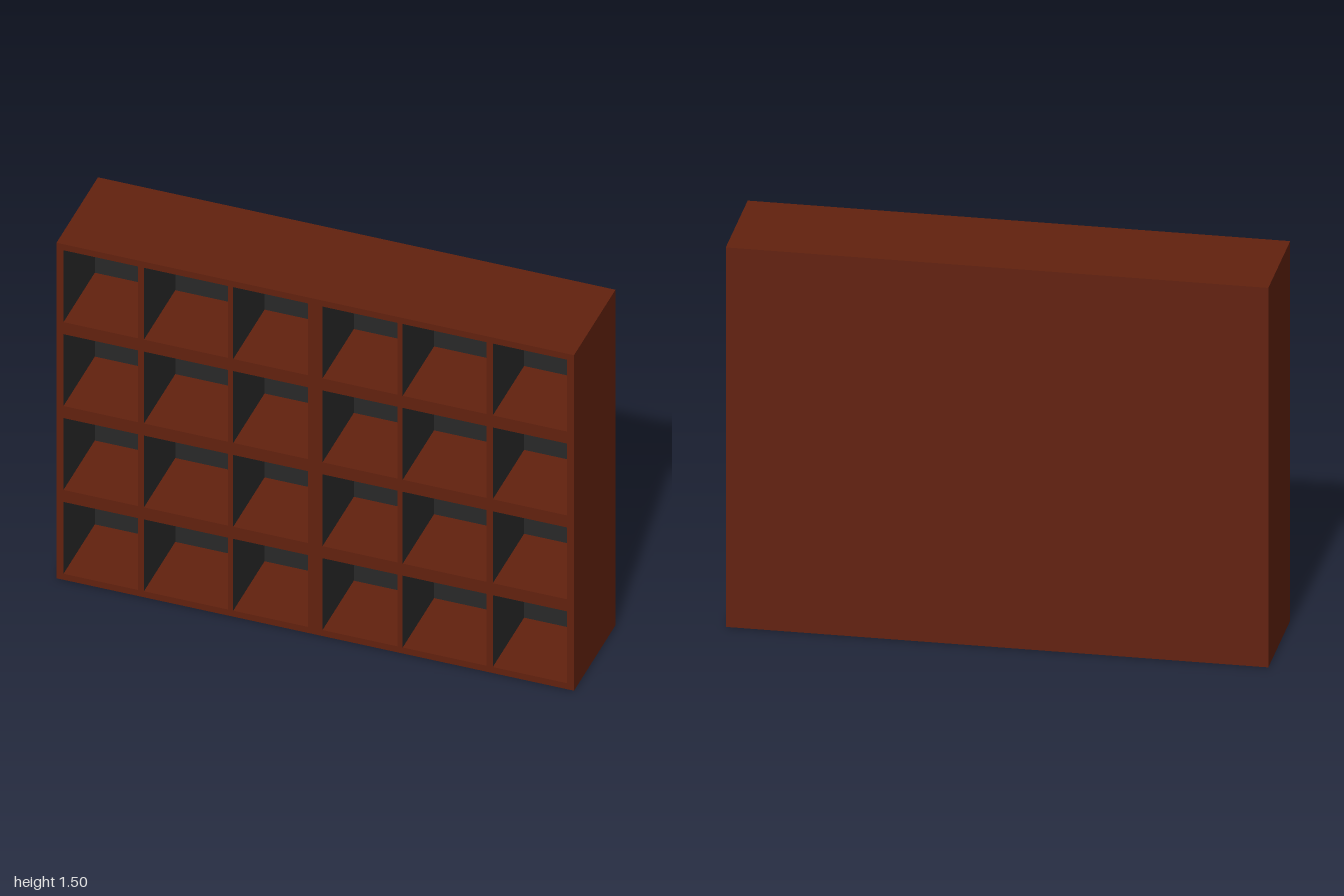
import * as THREE from 'three';

const W = 2, H = 1.5, FRONT = 0.216, BACK = -0.216, PANEL = -0.11;
const ROWS = 4, T = 0.027;

export function createModel() {
  const group = new THREE.Group();
  group.name = 'cubbyShelf';
  const wood = new THREE.MeshStandardMaterial({ color: 0x62210e });
  const dark = new THREE.MeshStandardMaterial({ color: 0x282828 });

  // Box between two corners; darkFaces lists the faces (+x,-x,+y,-y,+z,-z) that are lined dark
  function board(name, x0, x1, y0, y1, z0, z1, darkFaces = []) {
    const geo = new THREE.BoxGeometry(x1 - x0, y1 - y0, z1 - z0);
    const mats = [0, 1, 2, 3, 4, 5].map((i) => (darkFaces.includes(i) ? dark : wood));
    const mesh = new THREE.Mesh(geo, darkFaces.length ? mats : wood);
    mesh.name = name;
    mesh.position.set((x0 + x1) / 2, (y0 + y1) / 2, (z0 + z1) / 2);
    group.add(mesh);
  }

  // Thick back with a dark face inside the compartments
  board('backPanel', -W / 2, W / 2, 0, H, BACK, PANEL, [4]);

  // Outer sides, dark on the inside
  const inner = W / 2 - T;
  board('leftSide', inner, W / 2, 0, H, PANEL, FRONT, [1]);
  board('rightSide', -W / 2, -inner, 0, H, PANEL, FRONT, [0]);

  // Bottom, double-thickness shelves and top
  const pitch = H / ROWS;
  for (let i = 0; i <= ROWS; i++) {
    const name = i === 0 ? 'bottomBoard' : i === ROWS ? 'topBoard' : 'shelf';
    board(name, -inner, inner, Math.max(0, i * pitch - T), Math.min(H, i * pitch + T), PANEL, FRONT);
  }

  // Upright dividers in each row, the middle one double thickness
  const uprights = [[-0.686, -0.662], [-0.338, -0.317], [-0.028, 0.028], [0.317, 0.338], [0.662, 0.686]];
  for (let r = 0; r < ROWS; r++) {
    for (const [x0, x1] of uprights) {
      board('divider', x0, x1, r * pitch + T, (r + 1) * pitch - T, PANEL, FRONT, [0, 1]);
    }
  }
  return group;
}
